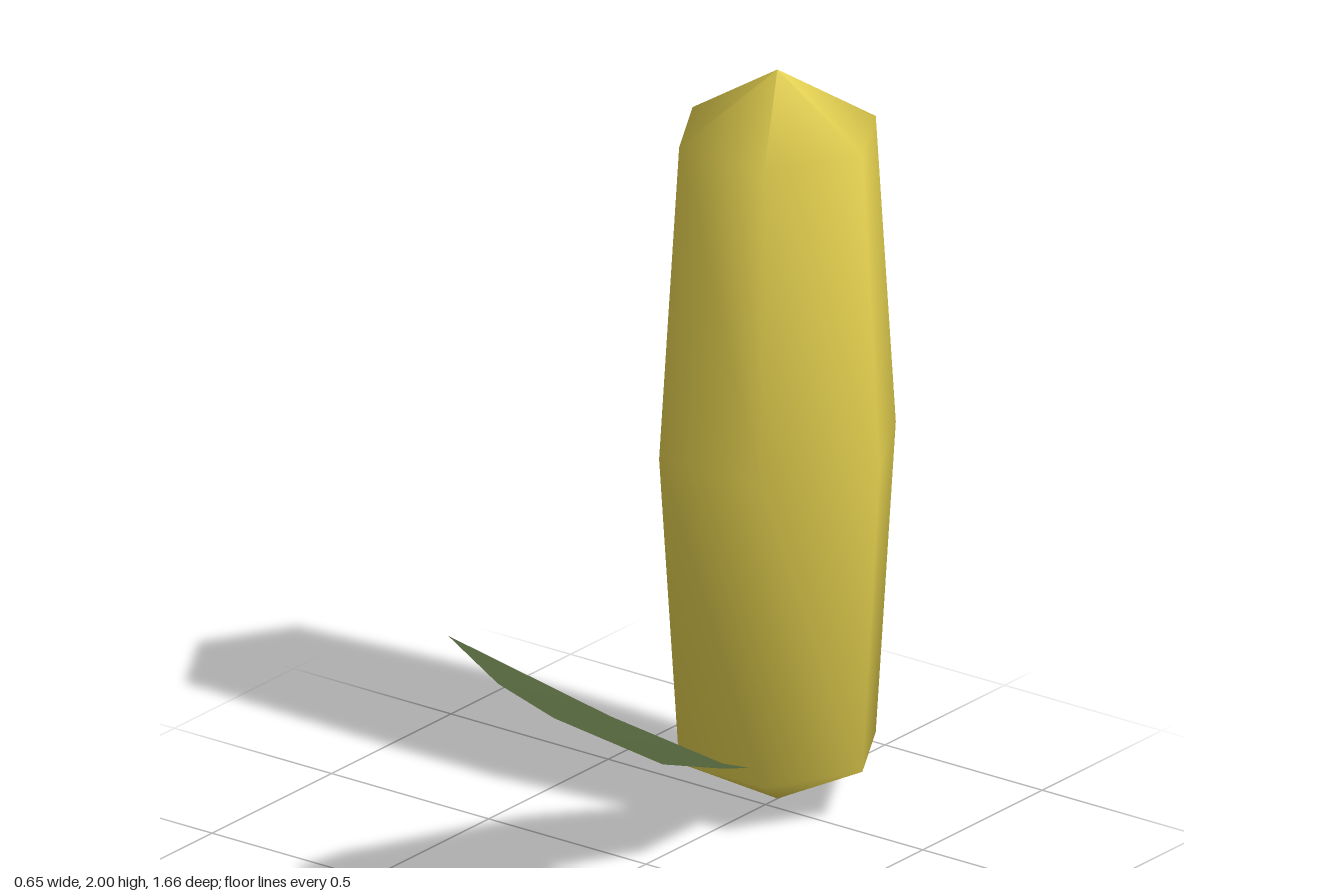
import * as THREE from 'three';

export function createModel() {
  const group = new THREE.Group();
  const cobYellow = new THREE.MeshStandardMaterial({ color: 0xe2cf4e });
  const leafGreen = new THREE.MeshStandardMaterial({ color: 0xa6c87c, side: THREE.DoubleSide });

  // Six-sided cob, pointed at both ends, smooth shaded
  const profile = [[0, 0.005], [0.27, 0.145], [0.325, 0.985], [0.27, 1.83], [0, 2]]
    .map(([r, y]) => new THREE.Vector2(r, y));
  const cob = new THREE.Mesh(new THREE.LatheGeometry(profile, 6, Math.PI / 2), cobYellow);
  cob.name = 'cob';
  cob.position.z = -0.55;
  group.add(cob);

  // Leaf: a curved sheet with a sunken midrib, pointed at base and tip
  const sections = [
    { z: -0.07, half: 0.19, rib: 0.255, edge: 0.305 },
    { z: 0.385, half: 0.178, rib: 0.53, edge: 0.58 },
  ];
  const points = [0, 0.08, -0.54];
  for (const { z, half, rib, edge } of sections) {
    points.push(-half, edge, z, 0, rib, z, half, edge, z);
  }
  points.push(0, 0.9, 0.828);
  const leafGeometry = new THREE.BufferGeometry();
  leafGeometry.setAttribute('position', new THREE.Float32BufferAttribute(points, 3));
  leafGeometry.setIndex([
    0, 1, 2, 0, 2, 3, // base
    1, 4, 5, 1, 5, 2, 2, 5, 6, 2, 6, 3, // blade
    4, 7, 5, 5, 7, 6, // tip
  ]);
  leafGeometry.computeVertexNormals();
  const leaf = new THREE.Mesh(leafGeometry, leafGreen);
  leaf.name = 'leaf';
  group.add(leaf);

  return group;
}
